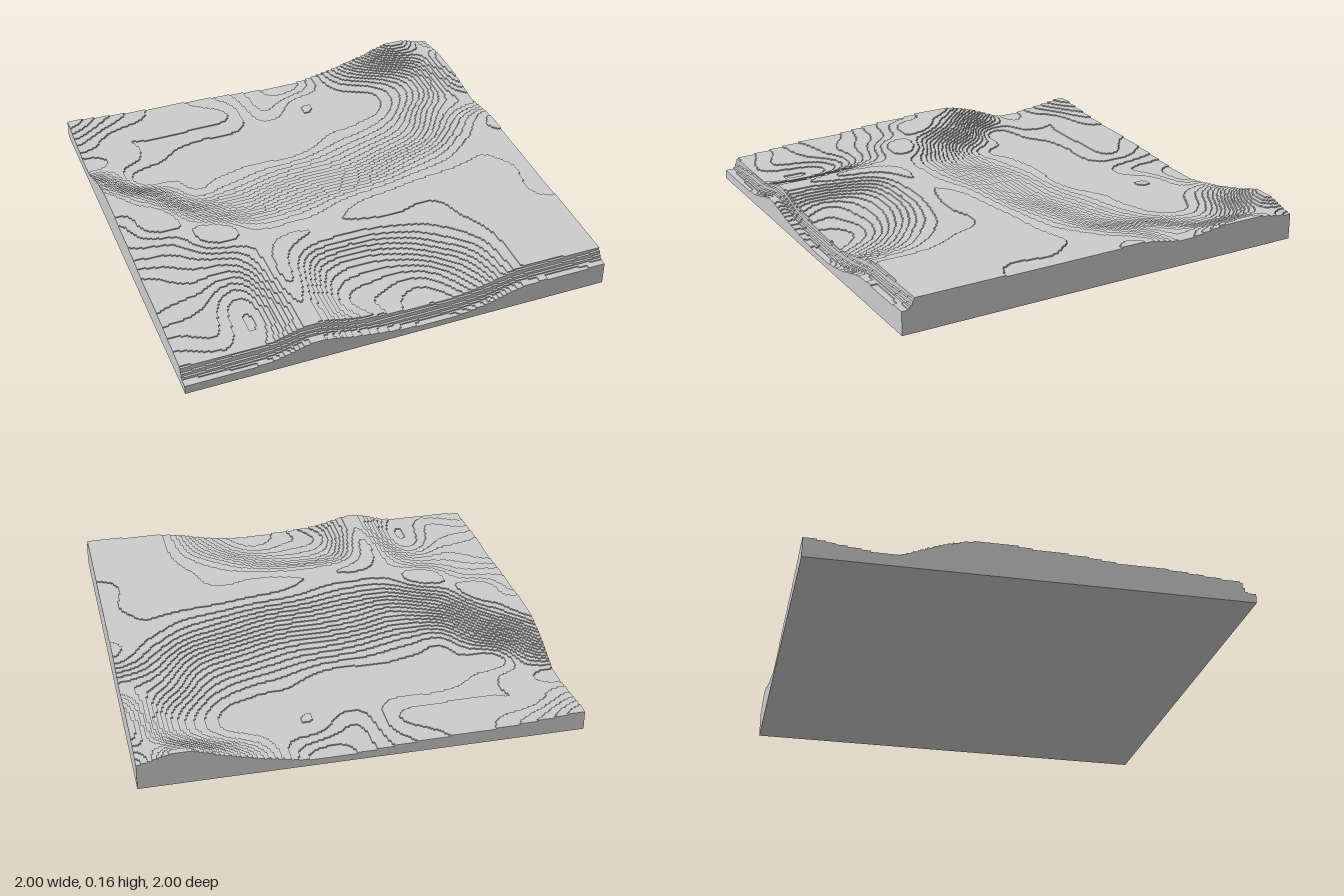
import * as THREE from 'three';

const CELLS = 200;          // cells along each side
const CELL = 2 / CELLS;
const TOP = 0.16;           // highest terrace
const STEP = TOP / 26;      // terrace height

// Cross-sections from back to front, heights in hundredths at every 0.2 in x
const SECTIONS = [
  [9.5, 8, 6.5, 6, 5, 3.5, 3, 6, 11, 16.5, 12],
  [7, 6, 6, 6, 6, 4, 5, 5, 6, 9.5, 15],
  [5.5, 6, 5.5, 5, 5, 5, 5, 5, 5.5, 8.5, 14.5],
  [13, 5.5, 5, 5, 5, 5, 5.5, 6, 7.5, 11, 12.5],
  [16.5, 13, 6.5, 6.5, 7, 7.5, 8, 9, 10.5, 13.5, 15.5],
  [15, 16.5, 12, 10, 11, 11.5, 12, 13, 14, 15.5, 15.5],
  [14, 14.5, 16.5, 14.5, 14.5, 15, 15.5, 16, 16, 16, 15.5],
  [12.5, 13, 13.5, 15.5, 15.5, 15.5, 15.5, 15.5, 16, 16, 15.5],
  [12, 11.5, 10.5, 16, 12, 11.5, 12.5, 14.5, 16, 16, 16],
  [10.5, 11, 9.5, 15, 10.5, 9.5, 9.5, 12, 15.5, 16.5, 16],
  [9, 9.5, 10.5, 15, 12, 9, 8, 10.5, 15.5, 16, 16],
];

// Smooth interpolation through evenly spaced values
function spline(values, u) {
  const last = values.length - 1;
  const i = Math.min(Math.floor(u), last - 1);
  const t = u - i;
  const p = (k) => values[Math.max(0, Math.min(last, k))];
  const a = p(i - 1), b = p(i), c = p(i + 1), d = p(i + 2);
  return b + 0.5 * t * (c - a + t * (2 * a - 5 * b + 4 * c - d + t * (3 * (b - c) + d - a)));
}

// Terraced height of one cell, zero outside the block
function terrace(i, j) {
  if (i < 0 || j < 0 || i >= CELLS || j >= CELLS) return 0;
  const x = -1 + (i + 0.5) * CELL;
  const z = -1 + (j + 0.5) * CELL;
  const column = SECTIONS.map((row) => spline(row, (x + 1) * 5));
  let h = spline(column, (z + 1) * 5) / 100;
  // Fine undulation of the ground
  h += 0.002 * Math.sin(9 * x + 4 * z) * Math.sin(11 * z - 3 * x);
  h = Math.min(h, TOP);
  // Hollow bank along the front edge, steep at its top
  const bank = 0.937 + 0.006 * Math.sin(7 * x);
  const t = THREE.MathUtils.clamp((z - bank) / 0.045, 0, 1);
  h -= 0.052 * (1 - (1 - t) ** 2.5);
  return Math.max(4, Math.round(h / STEP)) * STEP;
}

function terrainGeometry() {
  const heights = [];
  for (let i = -1; i <= CELLS; i++) {
    const line = [];
    for (let j = -1; j <= CELLS; j++) line.push(terrace(i, j));
    heights.push(line);
  }
  const at = (i, j) => heights[i + 1][j + 1];

  const positions = [];
  const quad = (a, b, c, d) => positions.push(...a, ...b, ...c, ...a, ...c, ...d);

  for (let i = -1; i < CELLS; i++) {
    for (let j = -1; j < CELLS; j++) {
      const x0 = -1 + i * CELL, x1 = x0 + CELL;
      const z0 = -1 + j * CELL, z1 = z0 + CELL;
      const h = at(i, j), hx = at(i + 1, j), hz = at(i, j + 1);
      // Flat top of the cell
      if (h > 0) quad([x0, h, z1], [x1, h, z1], [x1, h, z0], [x0, h, z0]);
      // Risers towards the neighbours in x and z
      if (h !== hx) quad([x1, hx, z1], [x1, hx, z0], [x1, h, z0], [x1, h, z1]);
      if (h !== hz) quad([x0, hz, z1], [x1, hz, z1], [x1, h, z1], [x0, h, z1]);
    }
  }
  // Underside
  quad([-1, 0, -1], [1, 0, -1], [1, 0, 1], [-1, 0, 1]);

  const geometry = new THREE.BufferGeometry();
  geometry.setAttribute('position', new THREE.Float32BufferAttribute(positions, 3));
  geometry.computeVertexNormals();
  return geometry;
}

export function createModel() {
  const stone = new THREE.MeshStandardMaterial({ color: 0xcccccc });
  stone.name = 'stone grey';

  const terrain = new THREE.Mesh(terrainGeometry(), stone);
  terrain.name = 'terracedTerrain';

  const model = new THREE.Group();
  model.name = 'terrainBlock';
  model.add(terrain);
  return model;
}
